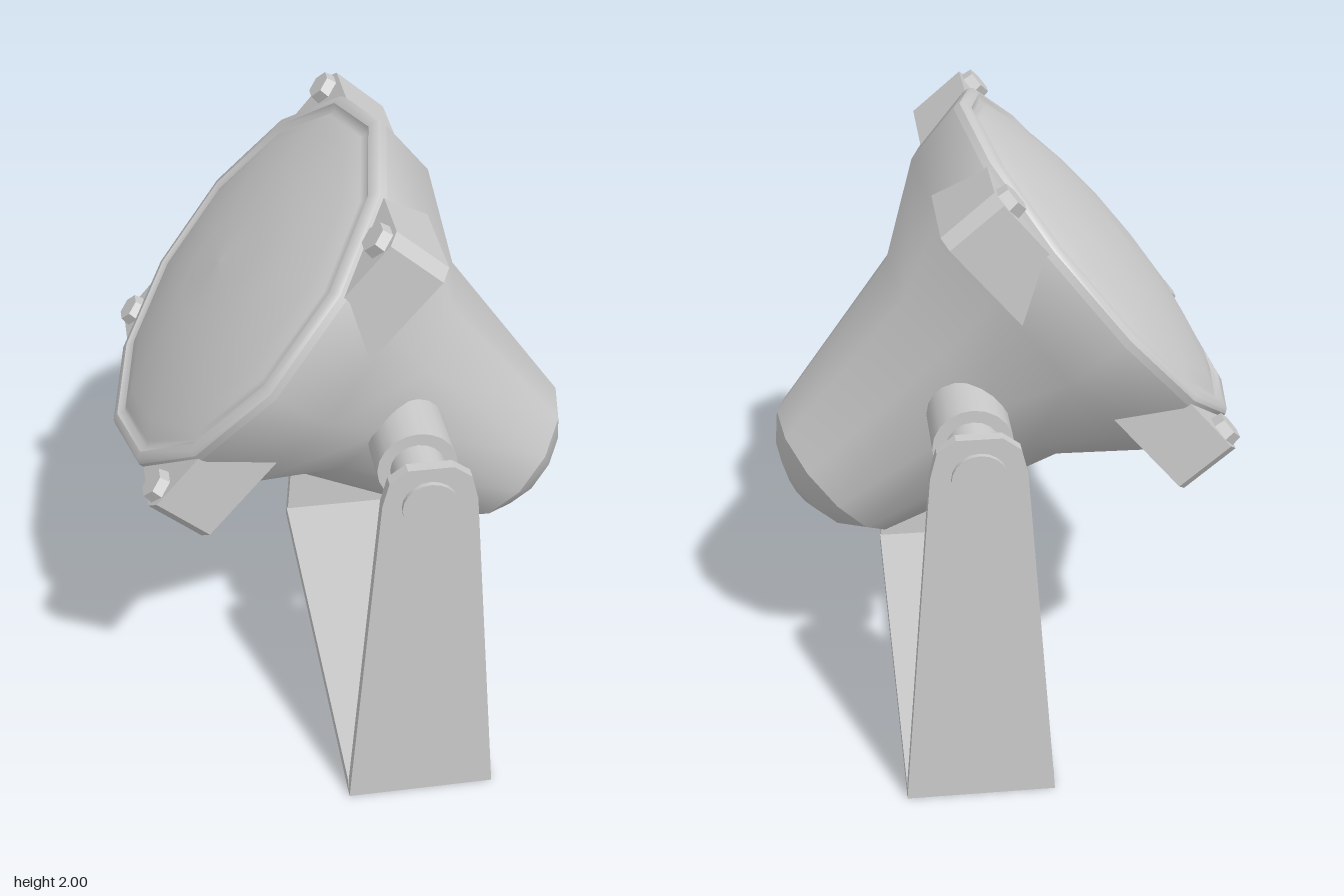
import * as THREE from 'three';

const material = new THREE.MeshStandardMaterial({ color: 0xcccccc });

function add(parent, name, geometry) {
  const mesh = new THREE.Mesh(geometry, material);
  mesh.name = name;
  parent.add(mesh);
  return mesh;
}

// Twelve-sided turned part; points are [radius, height], rear to front
function turned(points) {
  return new THREE.LatheGeometry(points.map(([r, y]) => new THREE.Vector2(r, y)), 12);
}

// Flat part cut from an outline of [x, y] points
function cut(points, depth) {
  const shape = new THREE.Shape(points.map(([x, y]) => new THREE.Vector2(x, y)));
  return new THREE.ExtrudeGeometry(shape, { depth, bevelEnabled: false });
}

// Cylinder along z between two z values
function pinGeometry(radius, z0, z1, sides) {
  const g = new THREE.CylinderGeometry(radius, radius, z1 - z0, sides);
  return g.rotateX(Math.PI / 2).translate(0, 0, (z0 + z1) / 2);
}

function createLamp() {
  const lamp = new THREE.Group();
  lamp.name = 'lampHead';

  // Housing: rear cap, flared shell and front rim
  add(lamp, 'rearCap', turned([[0, -1.25], [0.085, -1.24], [0.19, -1.19], [0.272, -1.108]]));
  add(lamp, 'shell', turned([[0.272, -1.108], [0.424, -0.5], [0.62, -0.22], [0.655, -0.02]]));
  add(lamp, 'rimEdge', turned([[0.655, -0.02], [0.655, 0.004]]));
  add(lamp, 'rimFace', turned([[0.655, 0.004], [0.645, 0.018], [0.62, 0.022]]));

  // Shallow groove and domed lens
  add(lamp, 'lens', turned([
    [0.62, 0.022], [0.6, 0.008], [0.58, 0.018], [0.52, 0.04],
    [0.36, 0.075], [0.2, 0.095], [0, 0.103],
  ]));

  // Four corner lugs, each with a hexagonal bolt
  for (let i = 0; i < 4; i++) {
    const corner = new THREE.Group();
    corner.name = 'cornerLug' + (i + 1);
    corner.rotation.y = i * Math.PI / 2;
    const lug = cut([[0.2, 0.565], [0.565, 0.2], [0.565, 0.53], [0.53, 0.565]], 0.2);
    add(corner, 'lug', lug.rotateX(-Math.PI / 2).translate(0, -0.21, 0));
    const bolt = add(corner, 'bolt', new THREE.CylinderGeometry(0.046, 0.053, 0.04, 6).toNonIndexed());
    bolt.geometry.computeVertexNormals();
    bolt.position.set(0.505, 0.003, -0.505);
    bolt.rotation.y = -corner.rotation.y;
    lamp.add(corner);
  }

  // Tilt the lamp up toward -x
  lamp.position.set(-0.305, 1.5, 0);
  lamp.rotation.z = 0.866;
  return lamp;
}

export function createModel() {
  const model = new THREE.Group();
  model.name = 'floodlight';
  model.add(createLamp());

  // Yoke: base strip and two tapered side arms
  const yoke = new THREE.Group();
  yoke.name = 'yoke';
  model.add(yoke);
  add(yoke, 'base', new THREE.BoxGeometry(0.465, 0.045, 1.46).translate(0.137, 0.0225, 0));
  const arm = [
    [-0.095, 0], [0.37, 0], [0.28, 1.15], [0.26, 1.23], [0.205, 1.27],
    [0.07, 1.27], [0.017, 1.23], [-0.003, 1.15],
  ];
  for (const side of [1, -1]) {
    const name = side > 0 ? 'front' : 'back';
    add(yoke, name + 'Arm', cut(arm, 0.036).translate(0, 0, side > 0 ? 0.724 : -0.76));

    // Pivot pin and its sleeve on the housing
    const pivot = new THREE.Group();
    pivot.name = name + 'Pivot';
    pivot.position.set(0.137, 1.142, 0);
    pivot.rotation.y = side > 0 ? 0 : Math.PI;
    add(pivot, 'pin', pinGeometry(0.083, 0.4, 0.775, 20));
    add(pivot, 'sleeve', pinGeometry(0.122, 0.28, 0.575, 20));
    model.add(pivot);
  }
  return model;
}
